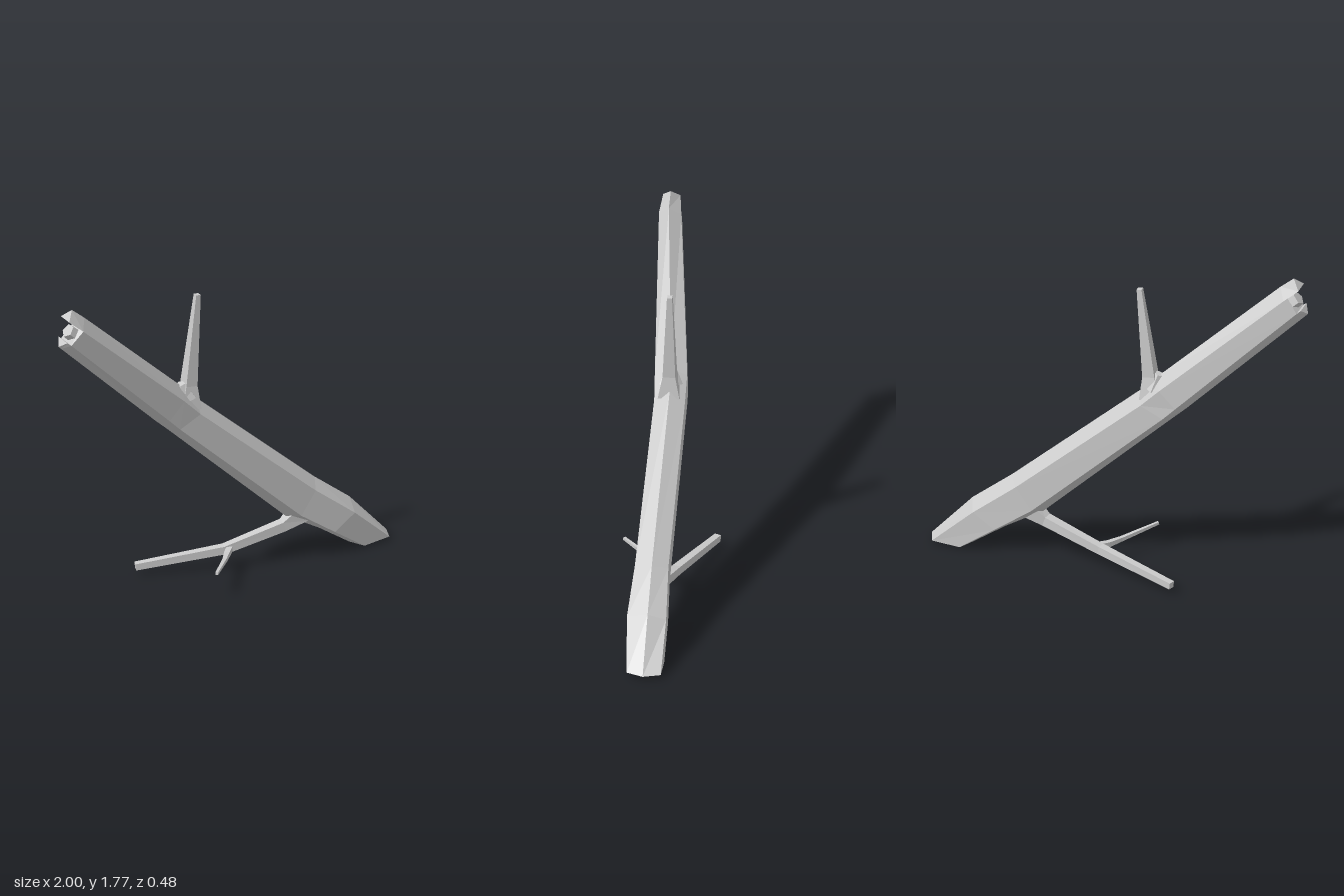
import * as THREE from 'three';

const V = (x, y, z) => new THREE.Vector3(x, y, z);

// Skin a list of equal-length rings, closing both ends with fans.
function loft(name, rings, material) {
  const pos = [];
  const tri = (a, b, c) => { for (const p of [a, b, c]) pos.push(p.x, p.y, p.z); };
  const n = rings[0].length;
  for (let i = 0; i < rings.length - 1; i++) {
    for (let j = 0; j < n; j++) {
      const k = (j + 1) % n, a = rings[i], b = rings[i + 1];
      tri(a[j], a[k], b[k]);
      tri(a[j], b[k], b[j]);
    }
  }
  const first = rings[0], last = rings[rings.length - 1];
  for (let j = 1; j < n - 1; j++) {
    tri(first[0], first[j + 1], first[j]);
    tri(last[0], last[j], last[j + 1]);
  }
  const g = new THREE.BufferGeometry();
  g.setAttribute('position', new THREE.Float32BufferAttribute(pos, 3));
  g.computeVertexNormals();
  const mesh = new THREE.Mesh(g, material);
  mesh.name = name;
  return mesh;
}

// Tapered limb: stations are [x, y, z, radius].
function limb(name, stations, sides, material) {
  const pts = stations.map(s => V(s[0], s[1], s[2]));
  const rings = pts.map((p, i) => {
    const t = pts[Math.min(i + 1, pts.length - 1)].clone().sub(pts[Math.max(i - 1, 0)]).normalize();
    const ref = Math.abs(t.y) > 0.8 ? V(0, 0, 1) : V(0, 1, 0);
    const u = ref.addScaledVector(t, -ref.dot(t)).normalize();
    const w = t.clone().cross(u);
    return Array.from({ length: sides }, (_, j) => {
      const a = (j + 0.5) / sides * Math.PI * 2, r = stations[i][3];
      return p.clone().addScaledVector(u, Math.cos(a) * r).addScaledVector(w, Math.sin(a) * r);
    });
  });
  return loft(name, rings, material);
}

export function createModel() {
  const model = new THREE.Group();
  model.name = 'fallenTrunk';
  const bark = new THREE.MeshStandardMaterial({ color: 0xcccccc, flatShading: true });

  // Trunk sections: top, upper, lower, bottom as x,y pairs,
  // then z of the ridge, upper front, upper back, lower front, lower back
  const sections = [
    [1, 0.02, 0.97, 0.02, 0.82, 0.005, 0.78, 0, -0.025, 0.062, -0.115, 0.068, -0.112],
    [0.78, 0.26, 0.75, 0.22, 0.635, 0.135, 0.6, 0.123, -0.02, 0.092, -0.112, 0.09, -0.106],
    [0.57, 0.425, 0.525, 0.395, 0.44, 0.27, 0.4, 0.24, -0.012, 0.082, -0.092, 0.082, -0.088],
    [-0.13, 1.04, -0.15, 0.985, -0.27, 0.925, -0.302, 0.903, -0.005, 0.077, -0.083, 0.076, -0.08],
    [-0.22, 1.13, -0.25, 1.085, -0.335, 0.99, -0.37, 0.965, 0, 0.088, -0.08, 0.082, -0.072],
    [-0.85, 1.71, -0.885, 1.66, -0.955, 1.595, -0.985, 1.562, 0.1, 0.156, 0.04, 0.154, 0.046],
  ];
  const rings = sections.map(([tx, ty, ux, uy, lx, ly, bx, by, zc, uf, ub, lf, lb]) => [
    V(tx, ty, zc), V(ux, uy, ub), V(lx, ly, lb), V(bx, by, zc), V(lx, ly, lf), V(ux, uy, uf),
  ]);
  model.add(loft('trunk', rings, bark));

  // Broken end: long upper splinter, middle stub, short lower splinter
  const [top, upBack, lowBack, bottom, lowFront, upFront] = rings[rings.length - 1];
  model.add(loft('upperSplinter', [
    [top, upBack, upFront],
    [V(-0.922, 1.77, 0.1), V(-0.962, 1.725, 0.055), V(-0.962, 1.725, 0.145)],
  ], bark));
  model.add(loft('lowerSplinter', [
    [lowBack, bottom, lowFront],
    [V(-0.975, 1.612, 0.055), V(-1, 1.577, 0.1), V(-0.975, 1.612, 0.148)],
  ], bark));
  model.add(limb('brokenCore', [
    [-0.87, 1.592, 0.098, 0.045], [-0.948, 1.66, 0.103, 0.038],
  ], 5, bark));

  // Upright branch with a flared root and a small knot beside it
  model.add(limb('uprightBranch', [
    [-0.19, 1.01, 0, 0.08], [-0.177, 1.13, 0, 0.047], [-0.123, 1.627, -0.008, 0.019],
  ], 4, bark));
  model.add(limb('branchKnot', [
    [-0.2, 1.06, 0, 0.065], [-0.225, 1.145, 0, 0.025],
  ], 5, bark));

  // Low branch on the underside, with a forked twig
  model.add(limb('lowBranch', [
    [0.48, 0.25, -0.005, 0.065], [0.385, 0.192, -0.012, 0.037],
    [0.07, 0.105, -0.07, 0.031], [-0.368, 0.046, -0.222, 0.025],
  ], 4, bark));
  model.add(limb('twig', [
    [0.1, 0.11, -0.06, 0.022], [0.05, 0.105, -0.005, 0.02],
    [0, 0.11, 0.06, 0.015], [-0.142, 0.14, 0.232, 0.01],
  ], 4, bark));

  return model;
}
